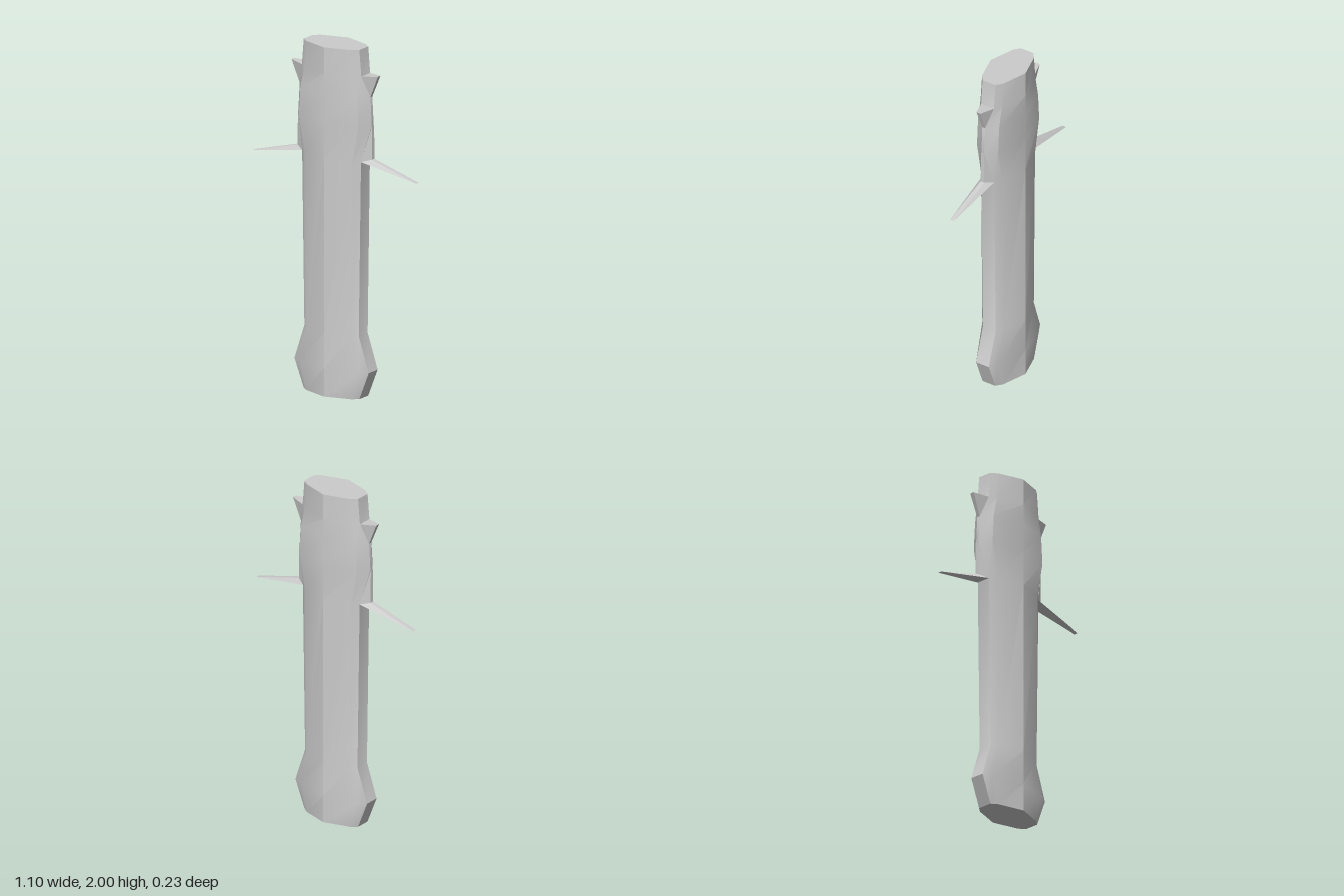
import * as THREE from 'three';
import { toCreasedNormals } from 'three/addons/utils/BufferGeometryUtils.js';

const grey = new THREE.MeshStandardMaterial({ color: 0xcccccc });

function meshFrom(tris, name, crease) {
  const geo = new THREE.BufferGeometry();
  geo.setAttribute('position', new THREE.Float32BufferAttribute(tris.flat(), 3));
  const mesh = new THREE.Mesh(toCreasedNormals(geo, crease), grey);
  mesh.name = name;
  return mesh;
}

// Ten-sided section: front and back ridge, chamfered shoulders, narrow side strips
function section([y, shoulderX, edgeX, edgeZ]) {
  const ridge = 0.115, shoulderZ = 0.07;
  return [
    [0, ridge], [shoulderX, shoulderZ], [edgeX, edgeZ], [edgeX, -edgeZ], [shoulderX, -shoulderZ],
    [0, -ridge], [-shoulderX, -shoulderZ], [-edgeX, -edgeZ], [-edgeX, edgeZ], [-shoulderX, shoulderZ],
  ].map(([x, z]) => [x, y, z]);
}

// Loft the sections and close both ends
function loft(rows) {
  const rings = rows.map(section), n = rings[0].length, last = rings.length - 1, tris = [];
  for (let j = 0; j < n; j++) {
    const k = (j + 1) % n;
    for (let i = 0; i < last; i++) {
      const a = rings[i][j], b = rings[i][k], c = rings[i + 1][k], d = rings[i + 1][j];
      tris.push(a, b, c, a, c, d);
    }
    tris.push([0, rows[0][0], 0], rings[0][k], rings[0][j]);
    tris.push([0, rows[last][0], 0], rings[last][j], rings[last][k]);
  }
  return tris;
}

// Blade from an outline of [x, y, half thickness], fanned from its first point
function blade(outline) {
  const f = outline, b = outline.map(([x, y, z]) => [x, y, -z]), tris = [];
  for (let i = 1; i < f.length - 1; i++) {
    tris.push(f[0], f[i], f[i + 1], b[0], b[i + 1], b[i]);
  }
  f.forEach((p, i) => {
    const k = (i + 1) % f.length;
    tris.push(p, b[i], b[k], p, b[k], f[k]);
  });
  return tris;
}

export function createModel() {
  const model = new THREE.Group();

  // Body rows: height, shoulder x, edge x, edge half depth
  model.add(meshFrom(loft([
    [0, 0.15, 0.187, 0.042],
    [0.16, 0.2, 0.25, 0.042],
    [0.36, 0.148, 0.183, 0.042],
    [1.36, 0.16, 0.198, 0.042],
    [1.57, 0.2, 0.247, 0.009],
    [1.73, 0.19, 0.238, 0.009],
    [1.85, 0.165, 0.2, 0.042],
    [2, 0.15, 0.187, 0.042],
  ]), 'body', 0.5));

  // Side blades: a long drooping prong and a short upper horn
  const prong = [[0.198, 1.36, 0.043], [0.548, 1.29, 0.012], [0.25, 1.375, 0.012], [0.25, 1.57, 0.009]];
  const horn = [[0.238, 1.73, 0.009], [0.29, 1.857, 0.013], [0.2, 1.85, 0.042]];
  for (const [side, turn] of [['left', 0], ['right', Math.PI]]) {
    const fins = new THREE.Group();
    fins.name = side + 'Fins';
    fins.add(meshFrom(blade(prong), side + 'Prong', 0.3), meshFrom(blade(horn), side + 'Horn', 0.3));
    fins.rotation.y = turn;
    model.add(fins);
  }
  return model;
}
